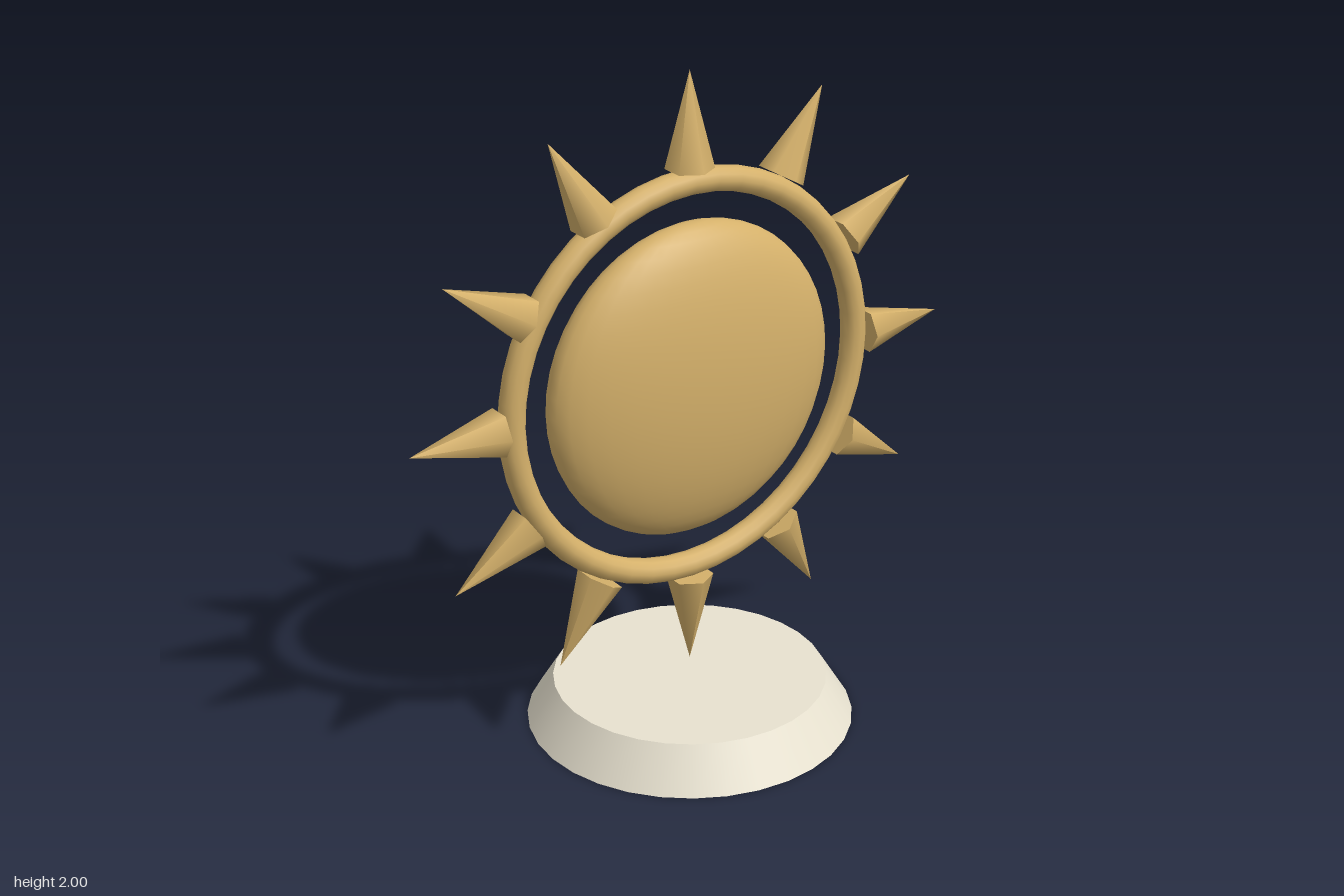
import * as THREE from 'three';

export function createModel() {
  const group = new THREE.Group();
  const gold = new THREE.MeshStandardMaterial({ color: 0xd4b06a });
  const stone = new THREE.MeshStandardMaterial({ color: 0xe8e2d0 });

  const add = (parent, name, geometry, material) => {
    const mesh = new THREE.Mesh(geometry, material);
    mesh.name = name;
    parent.add(mesh);
    return mesh;
  };

  // Tapered round plinth
  add(group, 'plinth', new THREE.CylinderGeometry(0.41, 0.49, 0.13, 32), stone).position.y = 0.065;

  // Floating sun emblem
  const sun = new THREE.Group();
  sun.name = 'sun';
  sun.position.y = 1.09;
  group.add(sun);

  // Lens-shaped centre
  add(sun, 'disc', new THREE.SphereGeometry(0.475, 32, 24), gold).scale.z = 0.305;

  // Surrounding ring
  add(sun, 'ring', new THREE.TorusGeometry(0.592, 0.038, 12, 48), gold);

  // Twelve six-sided rays pointing outward
  const rayCount = 12, rayLength = 0.28, rayStart = 0.63;
  const rayGeometry = new THREE.ConeGeometry(0.07, rayLength, 6);
  rayGeometry.translate(0, rayStart + rayLength / 2, 0);
  for (let i = 0; i < rayCount; i++) {
    add(sun, `ray${i + 1}`, rayGeometry, gold).rotation.z = (i / rayCount) * Math.PI * 2;
  }

  return group;
}
